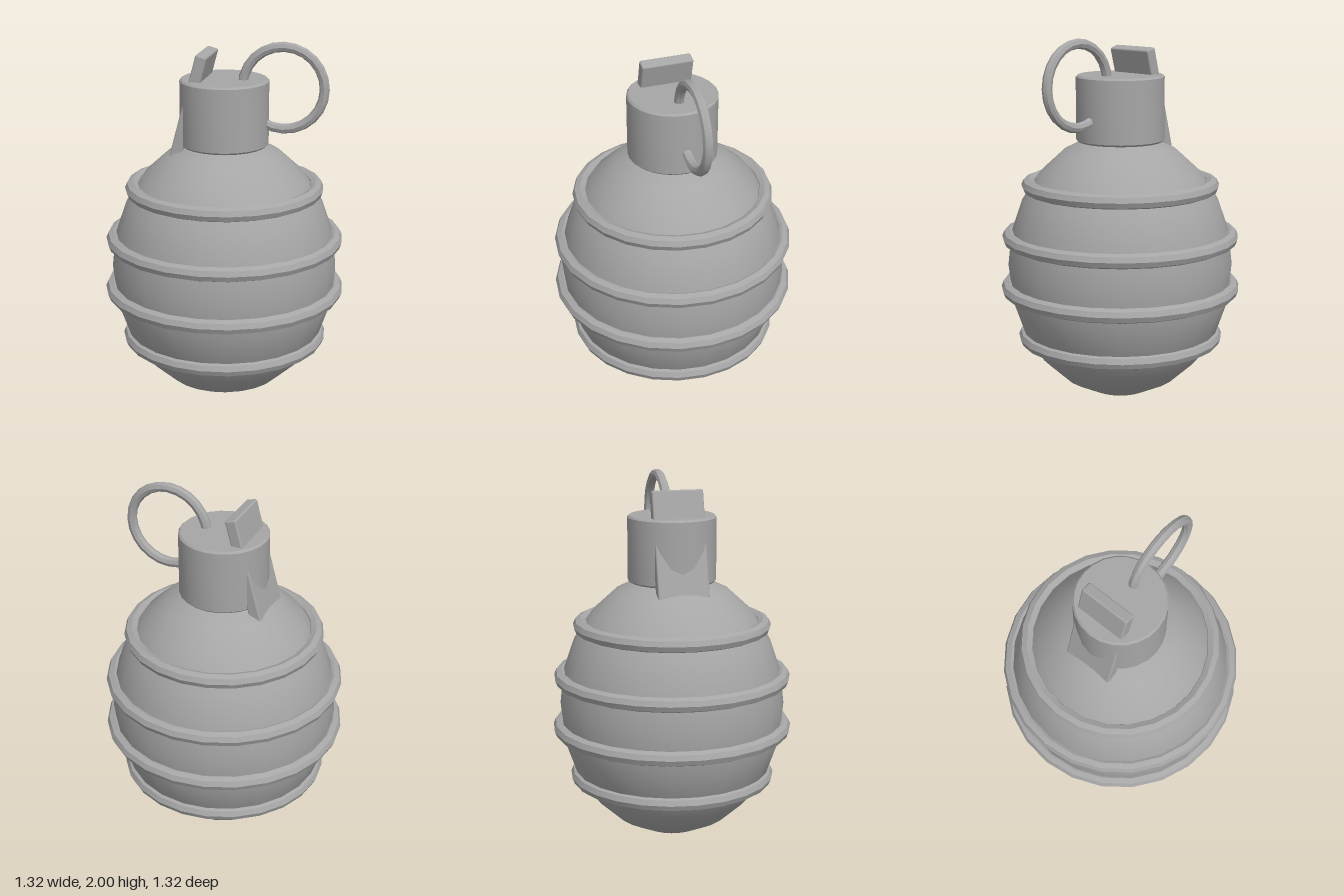
import * as THREE from 'three';
import { toCreasedNormals } from 'three/addons/utils/BufferGeometryUtils.js';
import { RoundedBoxGeometry } from 'three/addons/geometries/RoundedBoxGeometry.js';

const CREASE = THREE.MathUtils.degToRad(40);

export function createModel() {
  const model = new THREE.Group();
  model.name = 'grenade';
  const metal = new THREE.MeshStandardMaterial({ color: 0xa6a6a6 });
  metal.name = 'grey metal';

  const add = (name, geometry, x, y, z) => {
    const mesh = new THREE.Mesh(geometry, metal);
    mesh.name = name;
    mesh.position.set(x, y, z);
    model.add(mesh);
    return mesh;
  };

  // Torus with crisp bands around its tube, smooth along its length
  const hoop = (radius, tube) =>
    toCreasedNormals(new THREE.TorusGeometry(radius, tube, 8, 24), CREASE);

  // Egg-shaped body
  const body = new THREE.SphereGeometry(1, 24, 12);
  body.scale(0.62, 0.74, 0.62);
  add('body', body, 0, 0.74, 0);

  // Raised bands: [height, centre radius]
  const bands = [[0.34, 0.527], [0.62, 0.62], [0.905, 0.611], [1.19, 0.502]];
  bands.forEach(([y, radius], i) => {
    add(`band${i + 1}`, hoop(radius, 0.04), 0, y, 0).rotation.x = Math.PI / 2;
  });

  // Cap with narrow bevels
  const profile = [[0, 1.43], [0.23, 1.43], [0.24, 1.44], [0.24, 1.78], [0.23, 1.79], [0, 1.79]]
    .map(([x, y]) => new THREE.Vector2(x, y));
  add('cap', toCreasedNormals(new THREE.LatheGeometry(profile, 24), CREASE), 0, 0, 0);

  // Slanted lever passing through the cap
  const lever = new RoundedBoxGeometry(0.063, 0.6, 0.28, 2, 0.01);
  add('lever', lever, -0.171, 1.64, 0).rotation.z = -THREE.MathUtils.degToRad(15);

  // Pull ring
  add('pullRing', hoop(0.22, 0.027), 0.32, 1.753, 0);

  return model;
}
